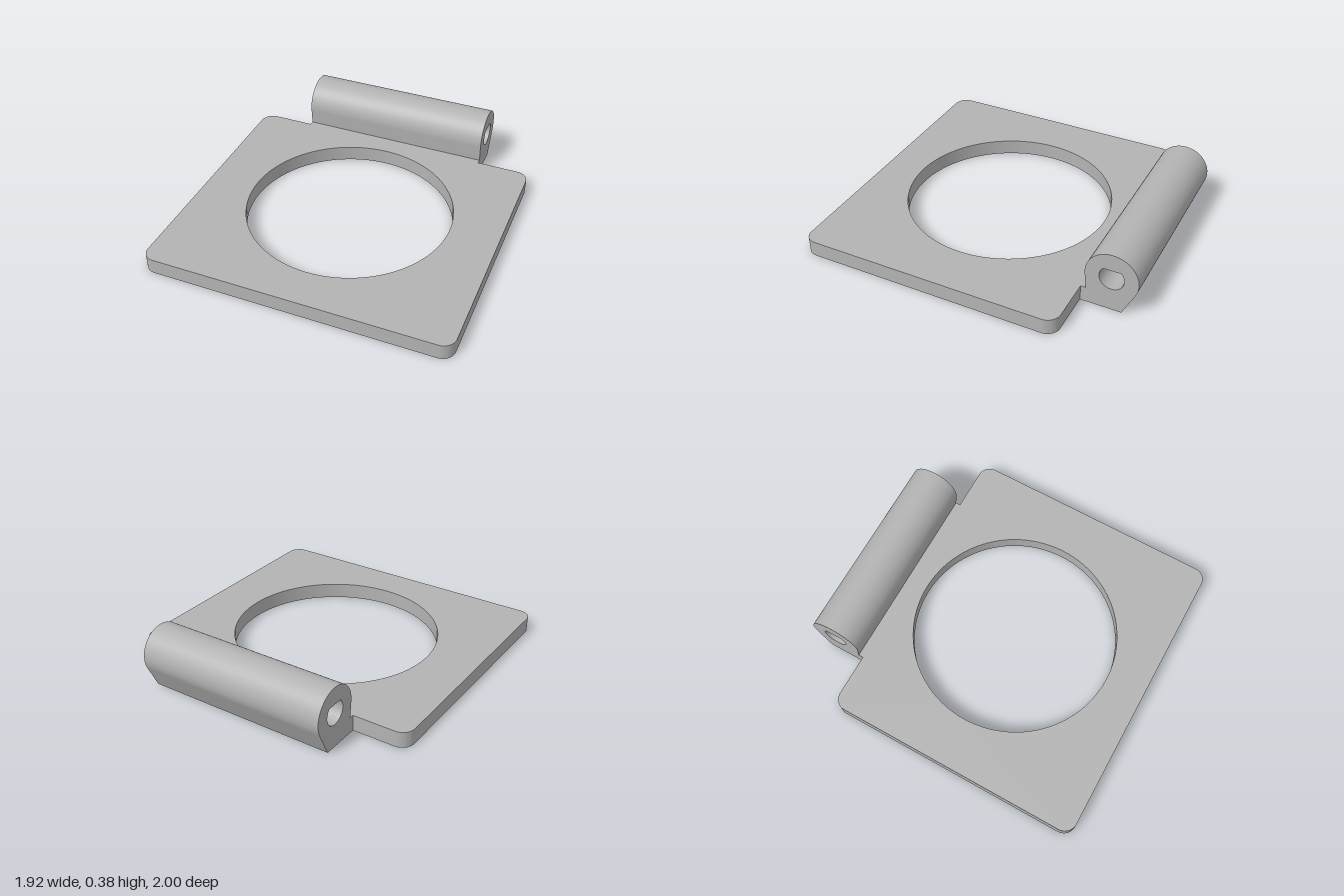
import * as THREE from 'three';
import { toCreasedNormals } from 'three/addons/utils/BufferGeometryUtils.js';

const rad = THREE.MathUtils.degToRad;

function extrude(shape, depth) {
  const geo = new THREE.ExtrudeGeometry(shape, { depth, bevelEnabled: false, curveSegments: 48 });
  return toCreasedNormals(geo, rad(25));
}

// Square plate with rounded corners and a large round opening
function plateGeometry() {
  const w = 0.96, y0 = -1, y1 = 0.66, r = 0.08;
  const s = new THREE.Shape();
  s.absarc(w - r, y0 + r, r, -Math.PI / 2, 0);
  s.absarc(w - r, y1 - r, r, 0, Math.PI / 2);
  s.absarc(-w + r, y1 - r, r, Math.PI / 2, Math.PI);
  s.absarc(-w + r, y0 + r, r, Math.PI, Math.PI * 1.5);
  s.closePath();
  const hole = new THREE.Path();
  hole.absarc(0, -0.1, 0.65, 0, Math.PI * 2, true);
  s.holes.push(hole);
  return extrude(s, 0.1).rotateX(-Math.PI / 2);
}

// Hinge knuckle: side profile (backwards, up) swept across the width
function hingeGeometry() {
  const cx = 0.84, cy = 0.22, half = 0.615;
  const s = new THREE.Shape();
  s.moveTo(0.66, 0);
  s.lineTo(0.91, 0);
  s.absarc(cx, cy, 0.16, rad(-26.2), rad(185.1));
  s.lineTo(0.69, 0.1);
  s.lineTo(0.66, 0.1);
  s.closePath();
  // Teardrop pin hole with a pointed top
  const r = 0.075;
  const pin = new THREE.Path();
  pin.moveTo(cx, cy + r * Math.SQRT2);
  pin.absarc(cx, cy, r, rad(45), rad(135), true);
  pin.closePath();
  s.holes.push(pin);
  return extrude(s, half * 2).translate(0, 0, -half).rotateY(Math.PI / 2);
}

export function createModel() {
  const grey = new THREE.MeshStandardMaterial({ color: 0xb3b3b3 });
  grey.name = 'grey';
  const model = new THREE.Group();
  model.name = 'hingedPlate';
  const parts = { plate: plateGeometry(), hingeKnuckle: hingeGeometry() };
  for (const [name, geo] of Object.entries(parts)) {
    const mesh = new THREE.Mesh(geo, grey);
    mesh.name = name;
    model.add(mesh);
  }
  return model;
}
